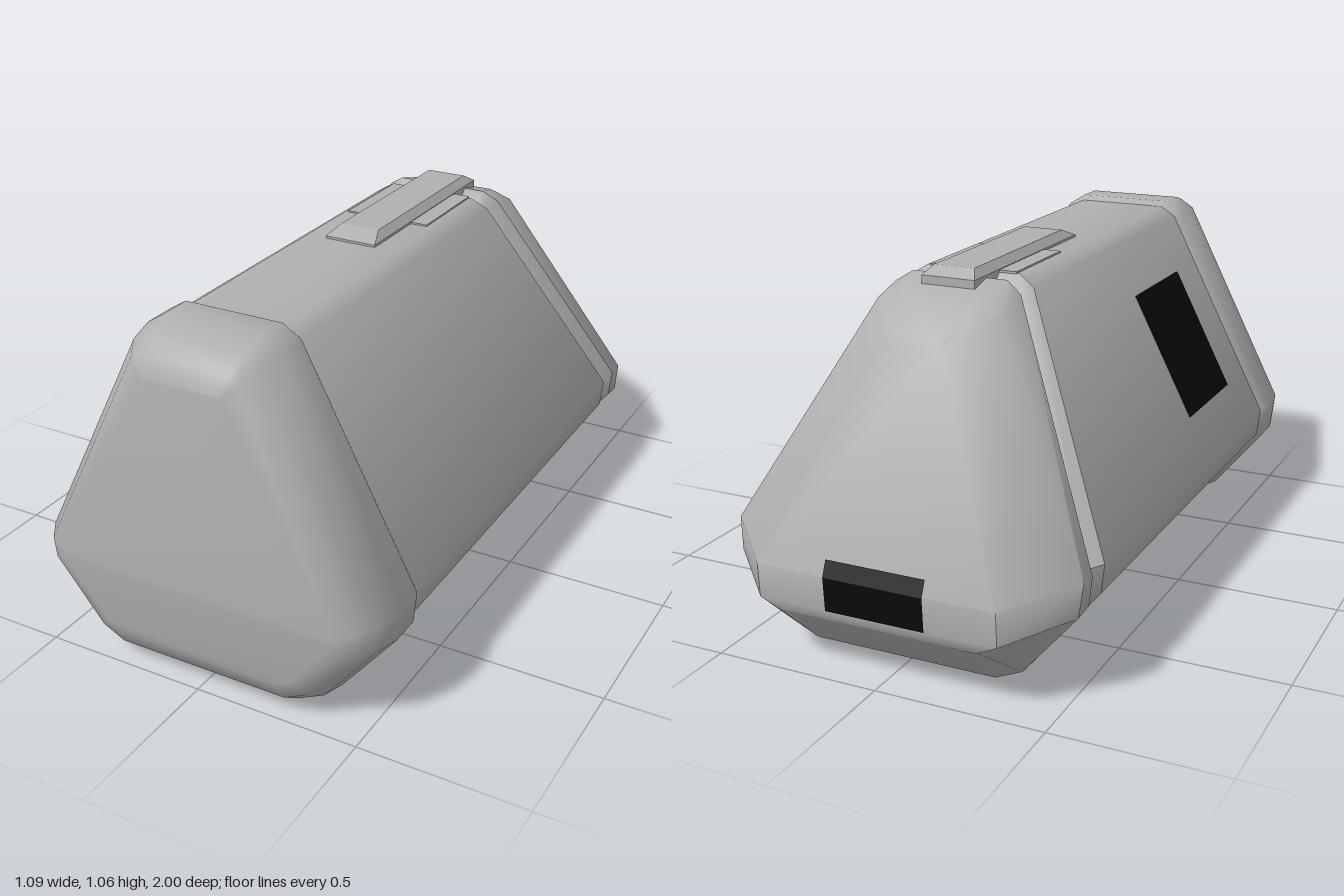
import * as THREE from 'three';
import { toCreasedNormals } from 'three/addons/utils/BufferGeometryUtils.js';
import { ConvexGeometry } from 'three/addons/geometries/ConvexGeometry.js';

// Right half of the rounded triangular cross-section, bottom to top
const HALF = [[0.28, 0], [0.37, 0.045], [0.535, 0.25], [0.545, 0.345], [0.205, 1.005], [0.15, 1.04]];

// Complete a half ring with its mirror image
const mirror = (half) => [...half, ...[...half].reverse().map(([x, y, z]) => [-x, y, z])];

// Cross-section moved inward by d, with z given by a function of height
function ring(d, zAt) {
  const pts = mirror(HALF);
  const n = pts.length;
  const half = HALF.map((p, i) => {
    const a = pts[(i + n - 1) % n], b = pts[(i + 1) % n];
    const n1 = new THREE.Vector2(p[1] - a[1], a[0] - p[0]).normalize();
    const n2 = new THREE.Vector2(b[1] - p[1], p[0] - b[0]).normalize();
    const k = d / (1 + n1.dot(n2));
    const x = p[0] - (n1.x + n2.x) * k, y = p[1] - (n1.y + n2.y) * k;
    return [x, y, zAt(p[1])];
  });
  return mirror(half);
}

// Closed skin through rings running from front to back
function loft(rings) {
  const n = rings[0].length, last = (rings.length - 1) * n, index = [];
  for (let r = 0; r < rings.length - 1; r++) {
    for (let i = 0; i < n; i++) {
      const j = (i + 1) % n, a = r * n, b = a + n;
      index.push(a + i, b + i, b + j, a + i, b + j, a + j);
    }
  }
  for (let i = 0; i < n / 2 - 1; i++) {
    const l = n - 1 - i, m = l - 1;
    index.push(i, i + 1, m, i, m, l);
    index.push(last + i, last + m, last + i + 1, last + i, last + l, last + m);
  }
  const g = new THREE.BufferGeometry();
  g.setAttribute('position', new THREE.Float32BufferAttribute(rings.flat(2), 3));
  g.setIndex(index);
  return toCreasedNormals(g, 0.66);
}

const flat = (z) => () => z;
const slant = (z) => (y) => z + 0.42 * Math.max(0, y - 0.345);

export function createModel() {
  const group = new THREE.Group();
  const grey = new THREE.MeshStandardMaterial({ color: 0xb0b0b0 });
  grey.name = 'grey shell';
  const black = new THREE.MeshStandardMaterial({ color: 0x0a0a0a });
  black.name = 'black label';

  const add = (name, geometry, material, x = 0, y = 0, z = 0) => {
    const mesh = new THREE.Mesh(geometry, material);
    mesh.name = name;
    mesh.position.set(x, y, z);
    group.add(mesh);
    return mesh;
  };

  // Rounded front cap
  add('frontCap', loft([
    ring(0.11, flat(1)), ring(0.055, flat(0.975)), ring(0.018, flat(0.92)),
    ring(0, flat(0.84)), ring(0, flat(0.745)), ring(0.02, flat(0.718)),
  ]), grey);

  // Body with a slanted, bevelled rear edge
  add('body', loft([
    ring(0.015, flat(0.74)), ring(0.015, slant(-0.69)), ring(0.05, slant(-0.73)),
  ]), grey);

  // Core at the bottom of the rear groove
  add('grooveCore', loft([ring(0.06, slant(-0.65)), ring(0.06, slant(-0.78))]), grey);

  // Faceted rear cap
  add('rearCap', loft([
    ring(0.05, slant(-0.738)),
    ring(0.015, slant(-0.772)),
    mirror([[0.28, 0.025, -0.84], [0.36, 0.06, -0.84], [0.52, 0.25, -0.84],
      [0.53, 0.345, -0.83], [0.19, 0.97, -0.6], [0.13, 1.0, -0.58]]),
    mirror([[0.25, 0.165, -0.98], [0.3, 0.17, -0.985], [0.36, 0.2, -0.99],
      [0.36, 0.3, -0.995], [0.09, 0.89, -0.75], [0.07, 0.91, -0.74]]),
  ]), grey);

  // Latch bar with bevelled edges bridging the groove
  const latch = [];
  for (const s of [-1, 1]) {
    for (const [x, y, front, back] of [[0.082, 0.98, 0.13, -0.55], [0.082, 1.032, 0.13, -0.55], [0.062, 1.056, 0.07, -0.51]]) {
      latch.push(new THREE.Vector3(s * x, y, front), new THREE.Vector3(s * x, y, back));
    }
  }
  add('latch', toCreasedNormals(new ConvexGeometry(latch), 0.3), grey);
  add('latchSeat', new THREE.BoxGeometry(0.27, 0.02, 0.3), grey, 0, 1.02, -0.25);

  // Underside panel and rear foot
  add('bottomPanel', new THREE.BoxGeometry(0.34, 0.008, 0.55), grey, 0, 0.015, 0.15);
  add('rearFoot', new THREE.BoxGeometry(0.58, 0.02, 0.24), grey, 0, 0.023, -0.51);

  // Label on the right slope
  const label = add('sideLabel', new THREE.BoxGeometry(0.009, 0.415, 0.37), black, -0.366, 0.662, 0.355);
  label.rotation.z = -0.476;

  // Label folded over the lower edge of the rear face
  const strip = [[0.2, -0.993], [0.3, -0.999], [0.345, -0.98]];
  const plate = new THREE.BufferGeometry();
  plate.setAttribute('position', new THREE.Float32BufferAttribute(
    strip.flatMap(([y, z]) => [0.15, y, z, -0.15, y, z]), 3));
  plate.setIndex([0, 1, 3, 0, 3, 2, 2, 3, 5, 2, 5, 4]);
  add('rearLabel', toCreasedNormals(plate, 0.2), black);

  return group;
}
